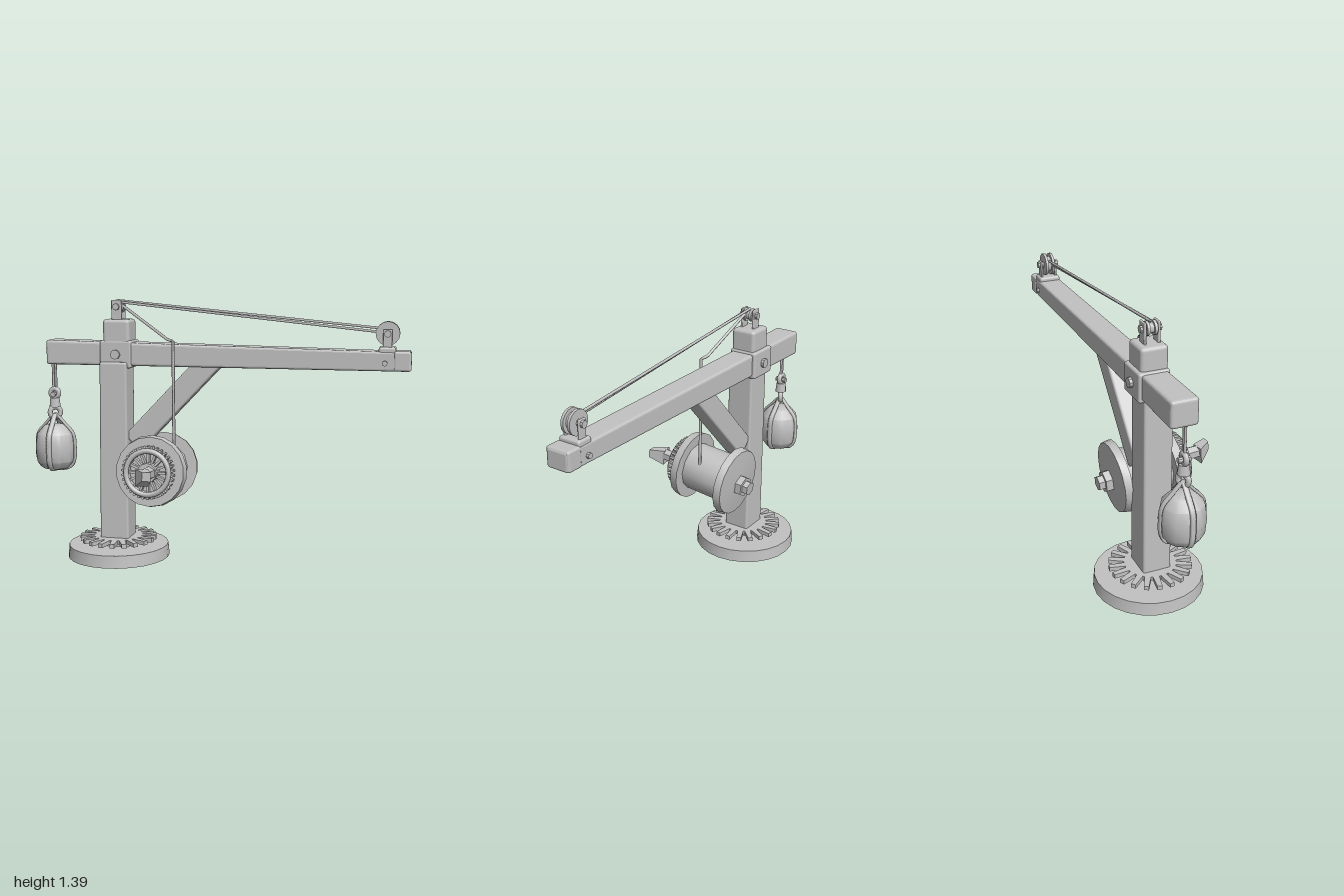
import * as THREE from 'three';
import { RoundedBoxGeometry } from 'three/addons/geometries/RoundedBoxGeometry.js';
import { ConvexGeometry } from 'three/addons/geometries/ConvexGeometry.js';
import { toCreasedNormals } from 'three/addons/utils/BufferGeometryUtils.js';

const CZ = -0.085; // depth of the crane's centre plane
const PX = -0.535; // x of the post

export function createModel() {
  const model = new THREE.Group();
  model.name = 'craneModel';
  const grey = new THREE.MeshStandardMaterial({ color: 0xc2c2c2 });
  grey.name = 'plainGrey';

  const add = (name, geo, x = 0, y = 0, z = 0, parent = model) => {
    const m = new THREE.Mesh(geo, grey);
    m.name = name;
    m.position.set(x, y, z);
    parent.add(m);
    return m;
  };
  const group = (name, x, y, z) => {
    const g = new THREE.Group();
    g.name = name;
    g.position.set(x, y, z);
    model.add(g);
    return g;
  };
  const box = (w, h, d, r = 0.012) => new RoundedBoxGeometry(w, h, d, 2, r);
  // Cylinder whose axis runs along z
  const disc = (rFront, rBack, depth, sides = 20) =>
    toCreasedNormals(new THREE.CylinderGeometry(rFront, rBack, depth, sides).rotateX(Math.PI / 2), 0.6);
  // Straight polyline rope
  const rope = (name, points, r = 0.008) => {
    const path = new THREE.CurvePath();
    const v = points.map((p) => new THREE.Vector3(...p));
    for (let i = 1; i < v.length; i++) path.add(new THREE.LineCurve3(v[i - 1], v[i]));
    return add(name, new THREE.TubeGeometry(path, 24 * (v.length - 1), r, 6));
  };
  // Flat gear with tapered teeth, extruded along z
  const gear = (teeth, root, tip, hole, depth) => {
    const s = new THREE.Shape();
    for (let i = 0; i < teeth; i++) {
      [[0, root], [0.22, root], [0.42, tip], [0.8, tip]].forEach(([f, r], k) => {
        const a = ((i + f) / teeth) * Math.PI * 2;
        s[i + k ? 'lineTo' : 'moveTo'](Math.cos(a) * r, Math.sin(a) * r);
      });
    }
    s.closePath();
    if (hole) s.holes.push(new THREE.Path().absarc(0, 0, hole, 0, Math.PI * 2, true));
    return new THREE.ExtrudeGeometry(s, { depth, bevelEnabled: false, curveSegments: 24 }).translate(0, 0, -depth / 2);
  };

  // Round base and turning gear
  add('base', toCreasedNormals(new THREE.CylinderGeometry(0.27, 0.276, 0.066, 24), 0.6), PX - 0.002, 0.033, CZ);
  const foot = new THREE.CylinderGeometry(0.085, 0.085, 0.006, 4);
  add('baseSocket', foot, PX, 0.003, CZ);
  add('turningGear', gear(20, 0.13, 0.207, 0, 0.022).rotateX(Math.PI / 2), PX, 0.102, CZ + 0.01);

  // Tapered post, collar and cap
  const post = box(0.16, 1.02, 0.145);
  const pp = post.attributes.position;
  for (let i = 0; i < pp.count; i++) {
    if (pp.getY(i) > 0) pp.setX(i, pp.getX(i) * 0.92 + 0.006);
  }
  add('post', post, PX - 0.002, 0.55, CZ + 0.012);
  add('collar', box(0.172, 0.145, 0.155), -0.522, 1.1, -0.098);
  add('postCap', box(0.145, 0.14, 0.135, 0.018), -0.518, 1.212, -0.09);
  for (const s of [-1, 1]) add('collarBolt', disc(0.025, 0.025, 0.02, 10), -0.52, 1.1, -0.098 + s * 0.083);

  // Jib beam, shallower toward its tip
  const jib = box(1.91, 0.13, 0.134, 0.014);
  const jp = jib.attributes.position;
  for (let i = 0; i < jp.count; i++) {
    const t = (jp.getX(i) + 0.955) / 1.91;
    jp.setY(i, (jp.getY(i) + 0.065) * (1 - 0.27 * t) - 0.065);
    jp.setZ(i, jp.getZ(i) * (1 - 0.1 * t) + 0.012 * t);
  }
  jib.computeVertexNormals();
  add('jib', jib, 0.045, 1.105, -0.096);
  add('jibEndCap', box(0.085, 0.1, 0.128), 0.955, 1.09, CZ);

  // Diagonal brace
  const brace = box(0.118, 0.64, 0.1, 0.012);
  add('brace', brace, -0.22, 0.86, CZ).rotation.z = -0.76;

  // Pulleys: grooved wheel, side cheeks and axle
  const pulley = (name, x, y, r, cheekW, cheekTop, cheekBottom, wide) => {
    const g = group(name, x, y, CZ);
    for (const s of [-1, 1]) {
      add('wheelRim', disc(r, r, 0.014, 16), 0, 0, s * 0.018, g);
      add('cheek', box(cheekW, cheekTop - cheekBottom, 0.012, 0.005), 0, (cheekTop + cheekBottom) / 2, s * wide, g);
    }
    add('wheelCore', disc(r * 0.7, r * 0.7, 0.03, 16), 0, 0, 0, g);
    add('axle', disc(0.018, 0.018, wide * 2 + 0.035, 8), 0, 0, 0, g);
  };
  pulley('topPulley', -0.52, 1.347, 0.034, 0.056, 0.035, -0.075, 0.034);
  pulley('tipPulley', 0.88, 1.225, 0.06, 0.045, 0.022, -0.1, 0.04);
  add('tipPulleyBlock', box(0.085, 0.075, 0.115), 0.88, 1.122, CZ);
  for (const s of [-1, 1]) add('tipBolt', disc(0.014, 0.014, 0.02, 8), 0.87, 1.08, CZ + s * 0.064);

  // Ropes
  rope('upperRope', [[-0.52, 1.379, CZ], [0.88, 1.247, CZ]], 0.007);
  rope('lowerRope', [[-0.52, 1.372, CZ + 0.014], [0.86, 1.23, CZ + 0.014]], 0.007);
  rope('winchRope', [[-0.52, 1.372, CZ + 0.01], [-0.235, 1.183, -0.01], [-0.202, 1.176, 0.005], [-0.2, 0.57, 0.005]]);

  // Tilted winch drum
  const winch = group('winch', -0.295, 0.502, 0);
  winch.rotation.x = -0.09;
  add('drum', disc(0.13, 0.132, 0.26, 12), 0, 0, -0.025, winch);
  add('frontFlange', disc(0.18, 0.187, 0.045, 18), 0, 0, 0.12, winch);
  add('rearFlange', disc(0.187, 0.18, 0.04, 18), 0, 0, -0.16, winch);
  add('rearCone', disc(0.18, 0.05, 0.012, 18), 0, 0, -0.186, winch);
  add('ratchetGear', gear(34, 0.122, 0.137, 0.1, 0.04), 0, 0, 0.172, winch);
  add('ratchetRing', new THREE.TorusGeometry(0.112, 0.014, 6, 32), 0, 0, 0.192, winch);
  for (let i = 0; i < 16; i++) {
    const a = (i / 16) * Math.PI * 2;
    add('spoke', new THREE.BoxGeometry(0.065, 0.012, 0.03), Math.cos(a) * 0.078, Math.sin(a) * 0.078, 0.165, winch).rotation.z = a;
  }
  add('frontHub', disc(0.05, 0.056, 0.055, 12), 0, 0, 0.17, winch);
  add('rearHub', disc(0.056, 0.056, 0.045, 6), 0, -0.01, -0.205, winch);
  add('rearAxle', disc(0.038, 0.038, 0.04, 6), 0, -0.01, -0.238, winch);
  add('frontAxle', disc(0.032, 0.036, 0.13, 6), 0.01, 0, 0.245, winch);
  // Slanted crank handle
  const handle = [[-0.03, -0.055, 0.3], [-0.03, 0.03, 0.3], [0.035, 0.03, 0.29], [0.035, -0.055, 0.29],
    [0.025, -0.02, 0.37], [0.025, 0.025, 0.37], [0.07, 0.025, 0.368], [0.07, -0.02, 0.368]];
  add('crankHandle', new ConvexGeometry(handle.map((p) => new THREE.Vector3(...p))), 0, 0, 0, winch);

  // Hanging counterweight with rope, eyes and crossed straps
  const X = -0.888;
  rope('weightRope', [[X - 0.006, 1.05, CZ], [X - 0.006, 0.9, CZ]], 0.007);
  rope('weightRope', [[X + 0.009, 1.05, CZ], [X + 0.009, 0.9, CZ]], 0.007);
  add('upperEye', new THREE.TorusGeometry(0.023, 0.014, 8, 16), X, 0.88, CZ);
  add('eyePin', disc(0.014, 0.014, 0.06, 8), X, 0.875, CZ);
  add('hookNeck', new THREE.CylinderGeometry(0.026, 0.032, 0.05, 8), X, 0.83, CZ);
  add('lowerEye', new THREE.TorusGeometry(0.028, 0.014, 8, 16), X, 0.775, CZ).rotation.y = 0.5;
  const outline = [[0, 0.47], [0.075, 0.472], [0.104, 0.51], [0.11, 0.59], [0.1, 0.66], [0.06, 0.705], [0, 0.715]];
  const stone = new THREE.LatheGeometry(outline.map((p) => new THREE.Vector2(...p)), 11);
  add('weight', toCreasedNormals(stone, 0.7), X, 0, CZ);
  const half = [[0.004, 0.765], [0.055, 0.715], [0.103, 0.66], [0.112, 0.59], [0.106, 0.51], [0.078, 0.473]];
  const loop = [...half, ...half.slice().reverse().map(([x, y]) => [-x, y])].map(([x, y]) => new THREE.Vector3(x, y, 0));
  for (const a of [0, Math.PI / 2]) {
    const strap = new THREE.TubeGeometry(new THREE.CatmullRomCurve3(loop, true), 48, 0.008, 6, true);
    strap.scale(0.97, 1, 1.9);
    add('strap', strap, X, 0, CZ).rotation.y = a;
  }
  return model;
}
